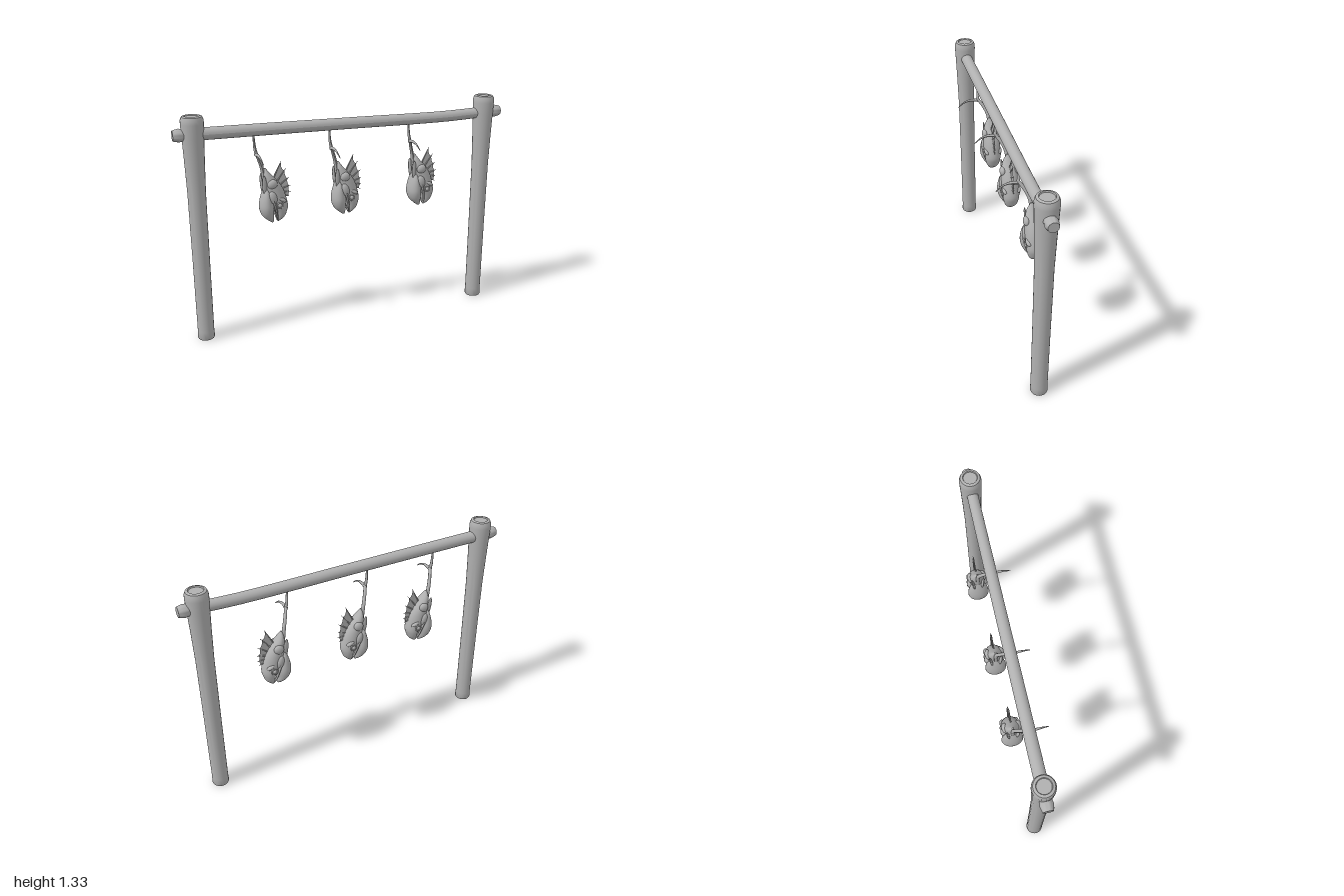
import * as THREE from 'three';
import { toCreasedNormals } from 'three/addons/utils/BufferGeometryUtils.js';

const V = (p) => new THREE.Vector3(...p);
const solid = new THREE.MeshStandardMaterial({ color: 0xb0b0b0, side: THREE.DoubleSide });
solid.name = 'plain grey';

function add(parent, name, geometry, pos = [0, 0, 0], rot = [0, 0, 0], scale = [1, 1, 1]) {
  const mesh = new THREE.Mesh(geometry, solid);
  mesh.name = name;
  mesh.position.set(...pos);
  mesh.rotation.set(...rot);
  mesh.scale.set(...scale);
  parent.add(mesh);
  return mesh;
}

function lathe(points) {
  const g = new THREE.LatheGeometry(points.map((p) => new THREE.Vector2(...p)), 28);
  return toCreasedNormals(g, 0.6);
}

// Tube whose radius runs linearly from r0 to r1
function taperedTube(points, r0, r1, sides = 8) {
  const curve = new THREE.CatmullRomCurve3(points.map(V));
  const steps = 16;
  const g = new THREE.TubeGeometry(curve, steps, 1, sides);
  const pos = g.attributes.position, v = new THREE.Vector3();
  for (let i = 0; i <= steps; i++) {
    const c = curve.getPointAt(i / steps);
    const r = r0 + (r1 - r0) * i / steps;
    for (let j = 0; j <= sides; j++) {
      const k = i * (sides + 1) + j;
      v.fromBufferAttribute(pos, k).sub(c).multiplyScalar(r).add(c);
      pos.setXYZ(k, v.x, v.y, v.z);
    }
  }
  g.computeVertexNormals();
  return g;
}

// Smooth body through elliptical sections [y, left x, right x, half depth], listed top down
function loft(sections) {
  const path = new THREE.CatmullRomCurve3(sections.map((s) => V([s[1], s[0], s[2]])));
  const depth = new THREE.CatmullRomCurve3(sections.map((s) => V([s[3], s[0], 0])));
  const rows = 28, sides = 24, verts = [], index = [];
  for (let i = 0; i <= rows; i++) {
    const p = path.getPoint(i / rows), d = Math.max(depth.getPoint(i / rows).x, 0.002);
    const mid = (p.x + p.z) / 2, half = Math.max((p.z - p.x) / 2, 0.002);
    for (let j = 0; j < sides; j++) {
      const a = j / sides * Math.PI * 2;
      verts.push(mid + half * Math.cos(a), p.y, d * Math.sin(a));
      if (i === rows) continue;
      const k = i * sides, n = (j + 1) % sides;
      index.push(k + j, k + n, k + sides + j, k + n, k + sides + n, k + sides + j);
    }
  }
  for (const [start, flip] of [[0, true], [rows * sides, false]]) {
    for (let j = 1; j < sides - 1; j++) {
      index.push(start, start + (flip ? j + 1 : j), start + (flip ? j : j + 1));
    }
  }
  const g = new THREE.BufferGeometry();
  g.setAttribute('position', new THREE.Float32BufferAttribute(verts, 3));
  g.setIndex(index);
  g.computeVertexNormals();
  return g;
}

// Dorsal fin spines as [base x, base y, tip x, tip y]
const spines = [
  [-0.02, 0.91, 0.035, 1.02], [0.0, 0.89, 0.063, 0.975], [0.015, 0.87, 0.08, 0.918],
  [0.028, 0.85, 0.087, 0.868], [0.036, 0.83, 0.088, 0.83], [0.042, 0.81, 0.08, 0.8],
];

function finMembrane() {
  const shape = new THREE.Shape();
  const at = (s, t) => [s[0] + (s[2] - s[0]) * t, s[1] + (s[3] - s[1]) * t];
  shape.moveTo(spines[0][0], spines[0][1]);
  shape.lineTo(...at(spines[0], 0.95));
  for (let i = 1; i < spines.length; i++) {
    const a = at(spines[i - 1], 0.68), b = at(spines[i], 0.68);
    shape.quadraticCurveTo((a[0] + b[0]) / 2, (a[1] + b[1]) / 2, ...at(spines[i], 0.84));
  }
  shape.lineTo(spines[5][0], spines[5][1]);
  return new THREE.ShapeGeometry(shape, 6);
}

function makeFish() {
  const fish = new THREE.Group();
  const body = new THREE.Group();
  body.name = 'fishBody';
  body.position.z = -0.06;
  fish.add(body);

  // Head with upper jaw, and the bulging lower jaw beside it
  add(body, 'head', loft([
    [0.985, -0.068, -0.06, 0.006], [0.95, -0.076, -0.033, 0.03], [0.9, -0.076, 0.012, 0.045],
    [0.85, -0.07, 0.042, 0.05], [0.8, -0.058, 0.058, 0.052], [0.75, -0.03, 0.067, 0.05],
    [0.72, -0.012, 0.06, 0.045], [0.69, -0.006, 0.048, 0.035], [0.668, -0.002, 0.025, 0.022],
    [0.656, 0.002, 0.01, 0.006],
  ]));
  add(body, 'lowerJaw', loft([
    [0.88, -0.07, -0.055, 0.02], [0.83, -0.089, -0.035, 0.05], [0.78, -0.102, -0.022, 0.061],
    [0.74, -0.104, -0.018, 0.062], [0.7, -0.09, -0.02, 0.05], [0.67, -0.06, -0.02, 0.03],
    [0.651, -0.034, -0.022, 0.006],
  ]));

  const ball = new THREE.SphereGeometry(1, 18, 12);
  for (const s of [-1, 1]) {
    const side = s > 0 ? 'front' : 'back';
    // Eye, socket, brow and cheek ridges
    add(body, side + 'Eye', ball, [0.008, 0.765, s * 0.049], [0, 0, 0], [0.013, 0.013, 0.01]);
    add(body, side + 'EyeSocket', new THREE.TorusGeometry(0.017, 0.0045, 8, 20), [0.008, 0.765, s * 0.049]);
    add(body, side + 'Brow', ball, [0.024, 0.797, s * 0.04], [0, 0, -0.5], [0.03, 0.012, 0.016]);
    add(body, side + 'Cheek', ball, [-0.03, 0.815, s * 0.043], [0, 0, 0.25], [0.024, 0.04, 0.018]);
    add(body, side + 'Gill', ball, [-0.03, 0.895, s * 0.038], [0, 0, 0.4], [0.03, 0.028, 0.018]);
    // Lip along the mouth
    add(body, side + 'Lip', taperedTube([
      [-0.03, 0.8, s * 0.053], [-0.016, 0.75, s * 0.045], [-0.006, 0.7, s * 0.03], [0.004, 0.66, s * 0.006],
    ], 0.009, 0.005));
    // Leaf-like fin folded against the throat
    add(body, side + 'ThroatFin', ball, [-0.075, 0.885, s * 0.028], [s * 0.12, 0, 0.06], [0.014, 0.065, 0.008]);
  }

  // Dorsal fin
  add(body, 'dorsalFin', finMembrane());
  for (const [bx, by, tx, ty] of spines) {
    add(body, 'finSpine', taperedTube([[bx, by, 0], [(bx + tx) / 2, (by + ty) / 2 + 0.002, 0], [tx, ty, 0]], 0.005, 0.0012, 6));
  }

  // Stripped tail: stem and two prongs, one hooked to the beam
  add(fish, 'tailStem', taperedTube([
    [-0.066, 0.88, -0.06], [-0.082, 0.99, -0.057], [-0.102, 1.045, -0.035], [-0.125, 1.095, 0],
  ], 0.013, 0.009));
  add(fish, 'upperTailProng', taperedTube([
    [-0.124, 1.085, 0], [-0.131, 1.13, -0.004], [-0.136, 1.205, 0],
  ], 0.01, 0.005));
  add(fish, 'frontTailProng', taperedTube([
    [-0.125, 1.085, -0.005], [-0.124, 1.09, 0.05], [-0.12, 1.08, 0.09], [-0.114, 1.055, 0.125],
  ], 0.011, 0.002));
  return fish;
}

export function createModel() {
  const model = new THREE.Group();
  model.name = 'fishDryingRack';

  // Posts and the beam ends passing through them
  const post = lathe([
    [0, 0], [0.046, 0], [0.05, 0.008], [0.048, 0.05], [0.049, 0.5], [0.051, 0.9], [0.056, 1.08],
    [0.061, 1.22], [0.064, 1.29], [0.063, 1.312], [0.056, 1.329], [0.042, 1.334], [0.039, 1.327], [0, 1.327],
  ]);
  const peg = lathe([[0, 0], [0.031, 0], [0.034, 0.07], [0.037, 0.085], [0.033, 0.105], [0.029, 0.12], [0, 0.12]]);
  for (const s of [-1, 1]) {
    add(model, s > 0 ? 'leftPost' : 'rightPost', post, [s * 0.89, 0, 0]);
    add(model, 'beamEnd', peg, [s * 0.88, 1.23, 0], [0, 0, -s * Math.PI / 2]);
  }

  // Slightly sagging beam
  add(model, 'beam', taperedTube([
    [-0.89, 1.23, 0], [-0.5, 1.228, 0], [0, 1.224, 0], [0.65, 1.219, 0], [0.89, 1.228, 0],
  ], 0.035, 0.032, 24));

  // Hanging fish
  for (const x of [-0.42, 0.026, 0.526]) {
    const fish = makeFish();
    fish.name = 'hangingFish';
    fish.position.x = x;
    model.add(fish);
  }
  return model;
}
